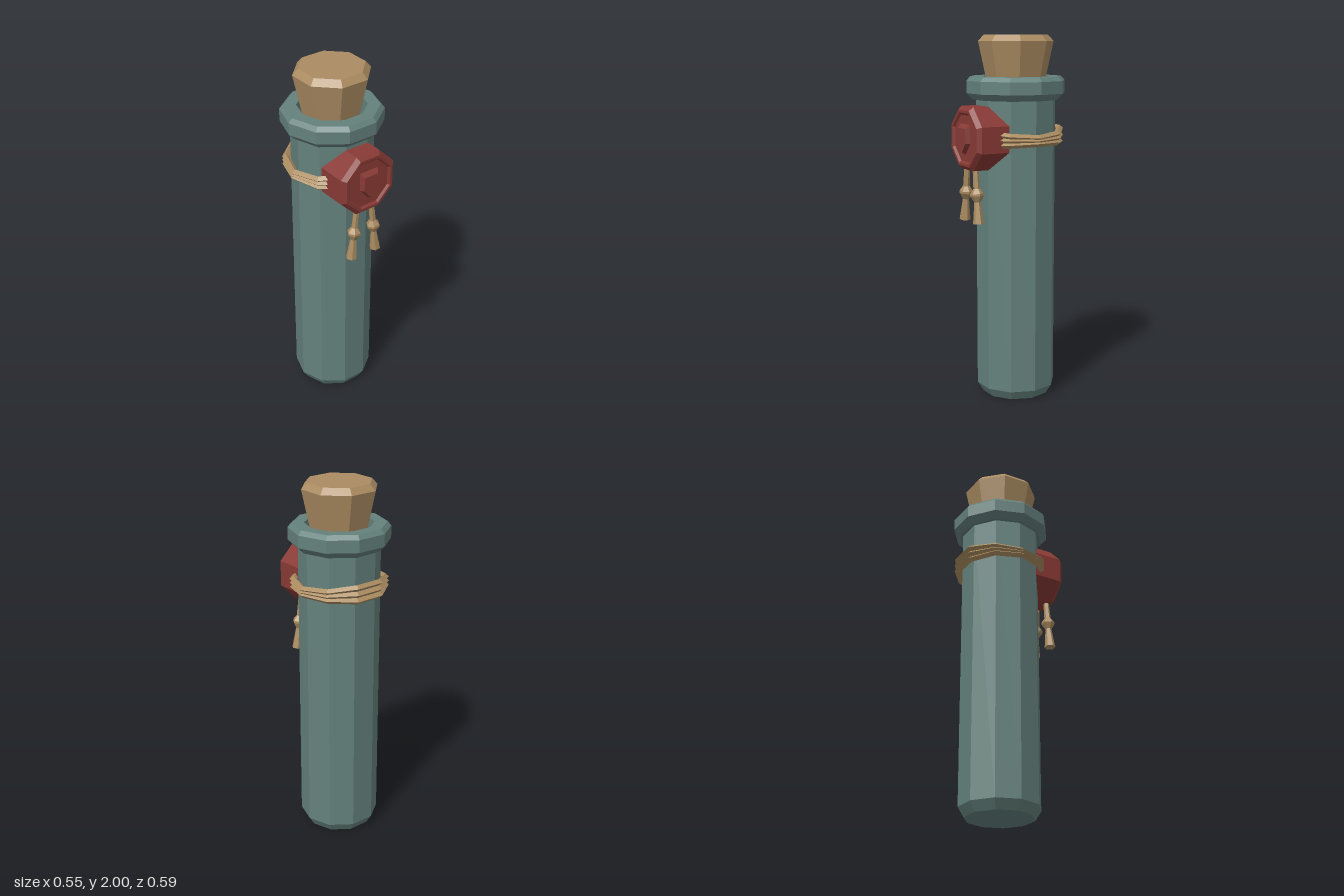
import * as THREE from 'three';

const AXIS_Z = -0.037; // centre line of the tube

function material(name, color) {
  const m = new THREE.MeshStandardMaterial({ color });
  m.name = name;
  m.flatShading = true;
  return m;
}

// Faceted solid of revolution with flats facing the axes
function facetedLathe(profile, sides) {
  const points = profile.map(([r, y]) => new THREE.Vector2(r, y));
  return new THREE.LatheGeometry(points, sides, Math.PI / sides);
}

function add(parent, name, geometry, mat, x = 0, y = 0, z = 0) {
  const mesh = new THREE.Mesh(geometry, mat);
  mesh.name = name;
  mesh.position.set(x, y, z);
  parent.add(mesh);
  return mesh;
}

export function createModel() {
  const model = new THREE.Group();
  model.name = 'sealedScrollTube';

  const teal = material('tealCase', 0x64817c);
  const tan = material('cork', 0xab8c62);
  const twine = material('twine', 0xab8c60);
  const red = material('sealingWax', 0x893a35);

  // Tube with chamfered foot, flared lip and open mouth
  add(model, 'tube', facetedLathe([
    [0, 0], [0.187, 0], [0.22, 0.052], [0.22, 1.655], [0.237, 1.655],
    [0.273, 1.69], [0.273, 1.757], [0.252, 1.78], [0.185, 1.78],
    [0.175, 1.66], [0, 1.66],
  ], 10), teal, 0, 0, AXIS_Z);

  // Tapered stopper with a chamfered top
  add(model, 'stopper', facetedLathe([
    [0, 1.66], [0.14, 1.66], [0.206, 1.967], [0.176, 2], [0, 2],
  ], 8), tan, 0, 0, AXIS_Z);

  // Wavy cord wraps: [height, wave]
  const wraps = new THREE.Group();
  wraps.name = 'cordWraps';
  model.add(wraps);
  for (const [height, wave] of [[1.478, 0.016], [1.452, 0.004], [1.426, -0.007]]) {
    const ring = new THREE.TorusGeometry(0.246, 0.02, 4, 10);
    ring.rotateX(Math.PI / 2);
    const p = ring.attributes.position;
    for (let i = 0; i < p.count; i++) {
      const angle = Math.atan2(p.getZ(i), p.getX(i));
      p.setY(i, p.getY(i) * 0.85 - wave * Math.cos(2 * angle) - 0.003 * Math.sin(angle));
    }
    ring.computeVertexNormals();
    add(wraps, 'cordWrap', ring, twine, 0, height, AXIS_Z);
  }

  // Octagonal wax seal with a sunken face
  const seal = new THREE.Group();
  seal.name = 'waxSeal';
  seal.position.set(0, 1.455, 0);
  model.add(seal);
  const disc = facetedLathe([
    [0, 0.09], [0.184, 0.09], [0.184, 0.26], [0.162, 0.283],
    [0.146, 0.283], [0.134, 0.272], [0, 0.272],
  ], 8);
  disc.rotateX(Math.PI / 2);
  add(seal, 'sealDisc', disc, red);

  // Raised shield, narrower at its front face
  const outline = [[-0.058, -0.025], [0, -0.09], [0.058, -0.025], [0.058, 0.078], [-0.058, 0.078]];
  const shield = new THREE.ExtrudeGeometry(
    new THREE.Shape(outline.map(([x, y]) => new THREE.Vector2(x, y))),
    { depth: 0.025, bevelEnabled: false });
  const sp = shield.attributes.position;
  for (let i = 0; i < sp.count; i++) {
    if (sp.getZ(i) > 0.01) sp.setXY(i, sp.getX(i) * 0.75, sp.getY(i) * 0.77 - 0.005);
  }
  shield.computeVertexNormals();
  add(seal, 'sealShield', shield, red, 0, 0, 0.27);

  // Mirrored knotted tassels hanging below the seal
  const tasselProfile = [
    [0, -0.302], [0.03, -0.302], [0.017, -0.185], [0.037, -0.152],
    [0.037, -0.14], [0.018, -0.112], [0.015, 0.03], [0, 0.03],
  ];
  for (const side of [-1, 1]) {
    const tassel = add(model, side > 0 ? 'leftTassel' : 'rightTassel',
      facetedLathe(tasselProfile, 6), twine, side * 0.049, 1.3, 0.238);
    tassel.rotation.z = side * 0.107;
  }

  return model;
}
